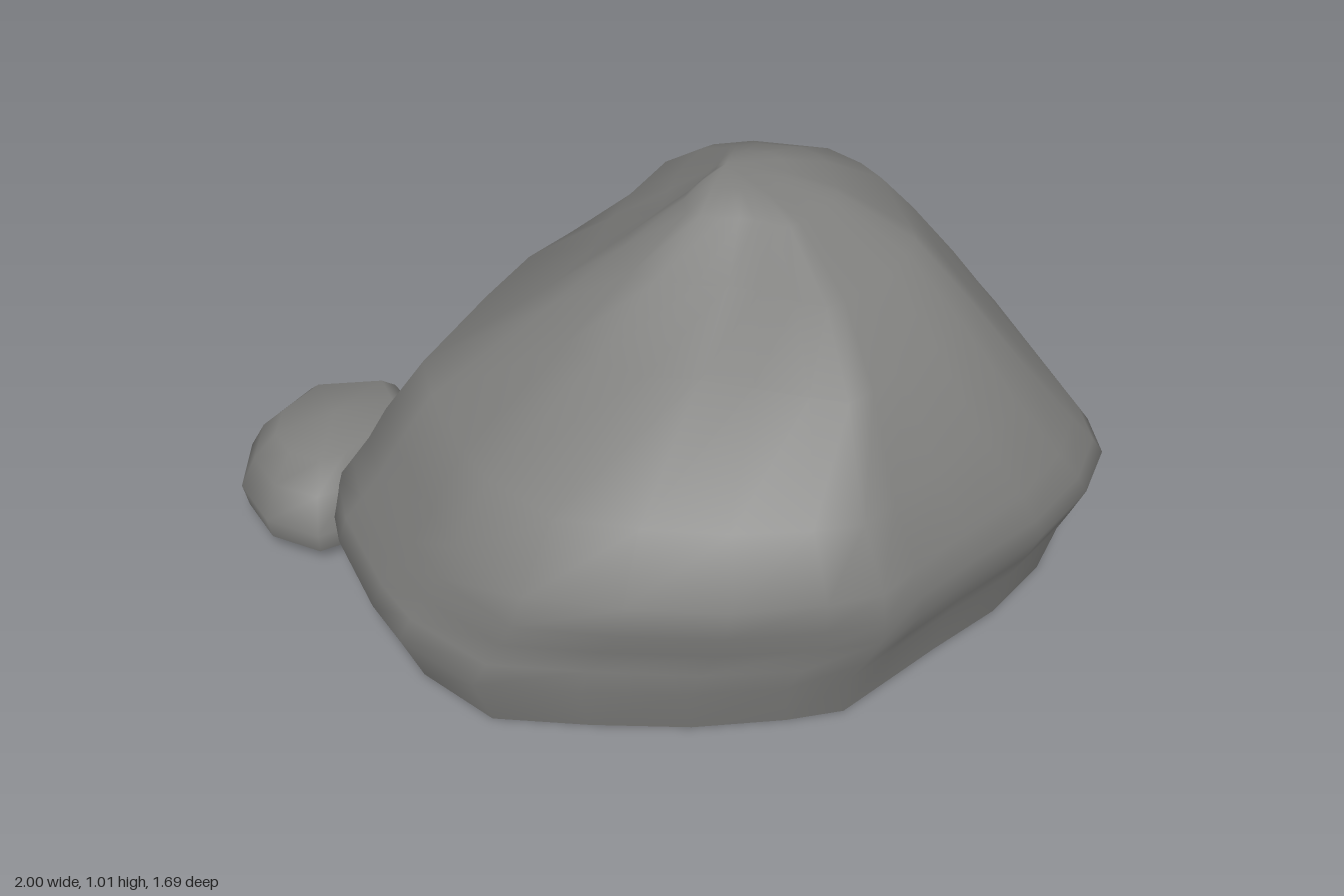
import * as THREE from 'three';

// Rock skin: a plan outline (counterclockwise from above) refitted at each level.
// Level: [y, xMin, xMax, zMin, zMax, bulges], where bulges swell or cut the four
// diagonals in the order (+x -z), (-x -z), (-x +z), (+x +z).
function makeRock(name, outline, levels, apex, material) {
  const n = outline.length;
  const box = new THREE.Box2().setFromPoints(outline.map(([x, z]) => new THREE.Vector2(x, z)));
  const mid = box.getCenter(new THREE.Vector2());
  const size = box.getSize(new THREE.Vector2());
  const positions = [];
  for (const [y, x0, x1, z0, z1, bulges = [0, 0, 0, 0]] of levels) {
    for (const [x, z] of outline) {
      const u = (2 * (x - mid.x)) / size.x;
      const v = (2 * (z - mid.y)) / size.y;
      const quadrant = v < 0 ? (u > 0 ? 0 : 1) : (u < 0 ? 2 : 3);
      const r = 1 + (bulges[quadrant] * Math.abs(2 * u * v)) / (u * u + v * v);
      positions.push((x0 + x1 + u * r * (x1 - x0)) / 2, y, (z0 + z1 + v * r * (z1 - z0)) / 2);
    }
  }
  const top = positions.length / 3;
  positions.push(...apex);

  const index = [];
  for (let l = 0; l < levels.length; l++) {
    for (let i = 0; i < n; i++) {
      const a = l * n + i, b = l * n + ((i + 1) % n);
      if (l === levels.length - 1) index.push(a, b, top);
      else index.push(a, b, b + n, a, b + n, a + n);
    }
  }
  const skin = new THREE.BufferGeometry();
  skin.setAttribute('position', new THREE.Float32BufferAttribute(positions, 3));
  skin.setIndex(index);
  skin.computeVertexNormals();

  // Flat underside, kept separate so its edge stays sharp
  const baseIndex = [];
  for (let i = 1; i < n - 1; i++) baseIndex.push(0, i + 1, i);
  const base = new THREE.BufferGeometry();
  base.setAttribute('position', new THREE.Float32BufferAttribute(positions.slice(0, n * 3), 3));
  base.setIndex(baseIndex);
  base.computeVertexNormals();

  const group = new THREE.Group();
  group.name = name;
  const body = new THREE.Mesh(skin, material);
  body.name = name + 'Body';
  const underside = new THREE.Mesh(base, material);
  underside.name = name + 'Underside';
  group.add(body, underside);
  return group;
}

export function createModel() {
  const stone = new THREE.MeshStandardMaterial({ color: 0x7f7f7d });
  stone.name = 'grey stone';

  const model = new THREE.Group();
  model.name = 'rocks';

  // Large boulder
  model.add(makeRock('boulder', [
    [1, -0.12], [0.94, -0.29], [0.83, -0.48], [0.5, -0.73], [0.29, -0.83], [0.21, -0.84],
    [-0.07, -0.77], [-0.27, -0.71], [-0.5, -0.58], [-0.83, -0.36], [-0.87, -0.2], [-0.88, 0.07],
    [-0.86, 0.21], [-0.76, 0.43], [-0.56, 0.56], [-0.35, 0.69], [-0.14, 0.79], [0, 0.84],
    [0.13, 0.81], [0.32, 0.76], [0.54, 0.71], [0.74, 0.62], [0.87, 0.51], [0.92, 0.38], [0.95, 0.2],
  ], [
    [0, -0.82, 0.92, -0.77, 0.75, [0.07, 0.02, 0.04, 0]],
    [0.14, -0.88, 0.96, -0.82, 0.79, [0.03, 0, 0.03, 0]],
    [0.2, -0.855, 0.98, -0.84, 0.815, [0.01, 0, 0.02, 0]],
    [0.27, -0.82, 1, -0.805, 0.835, [0, 0, 0.03, 0]],
    [0.34, -0.78, 0.945, -0.77, 0.845, [0.02, 0, 0.06, 0]],
    [0.42, -0.73, 0.88, -0.75, 0.835, [0.04, 0, 0.09, -0.01]],
    [0.57, -0.65, 0.76, -0.65, 0.77, [0.09, -0.02, 0.04, -0.02]],
    [0.76, -0.4, 0.61, -0.48, 0.6, [0.13, -0.2, -0.16, -0.03]],
    [0.87, -0.21, 0.52, -0.34, 0.4, [0.13, -0.28, -0.28, -0.04]],
    [0.97, -0.04, 0.36, -0.17, 0.2, [0.13, -0.28, -0.28, -0.08]],
    [1, 0.03, 0.25, -0.11, 0.08, [0.1, -0.28, -0.28, -0.1]],
  ], [0.12, 1.01, -0.06], stone));

  // Small rock at the back corner
  model.add(makeRock('smallRock', [
    [-0.49, -0.71], [-0.73, -0.82], [-0.92, -0.71], [-1, -0.56], [-0.99, -0.4],
    [-0.9, -0.28], [-0.8, -0.28], [-0.62, -0.38], [-0.5, -0.56],
  ], [
    [0.045, -0.987, -0.51, -0.8, -0.3],
    [0.11, -1, -0.49, -0.82, -0.28],
    [0.19, -0.96, -0.53, -0.76, -0.33],
    [0.25, -0.9, -0.58, -0.69, -0.39],
  ], [-0.74, 0.26, -0.55], stone));

  return model;
}
